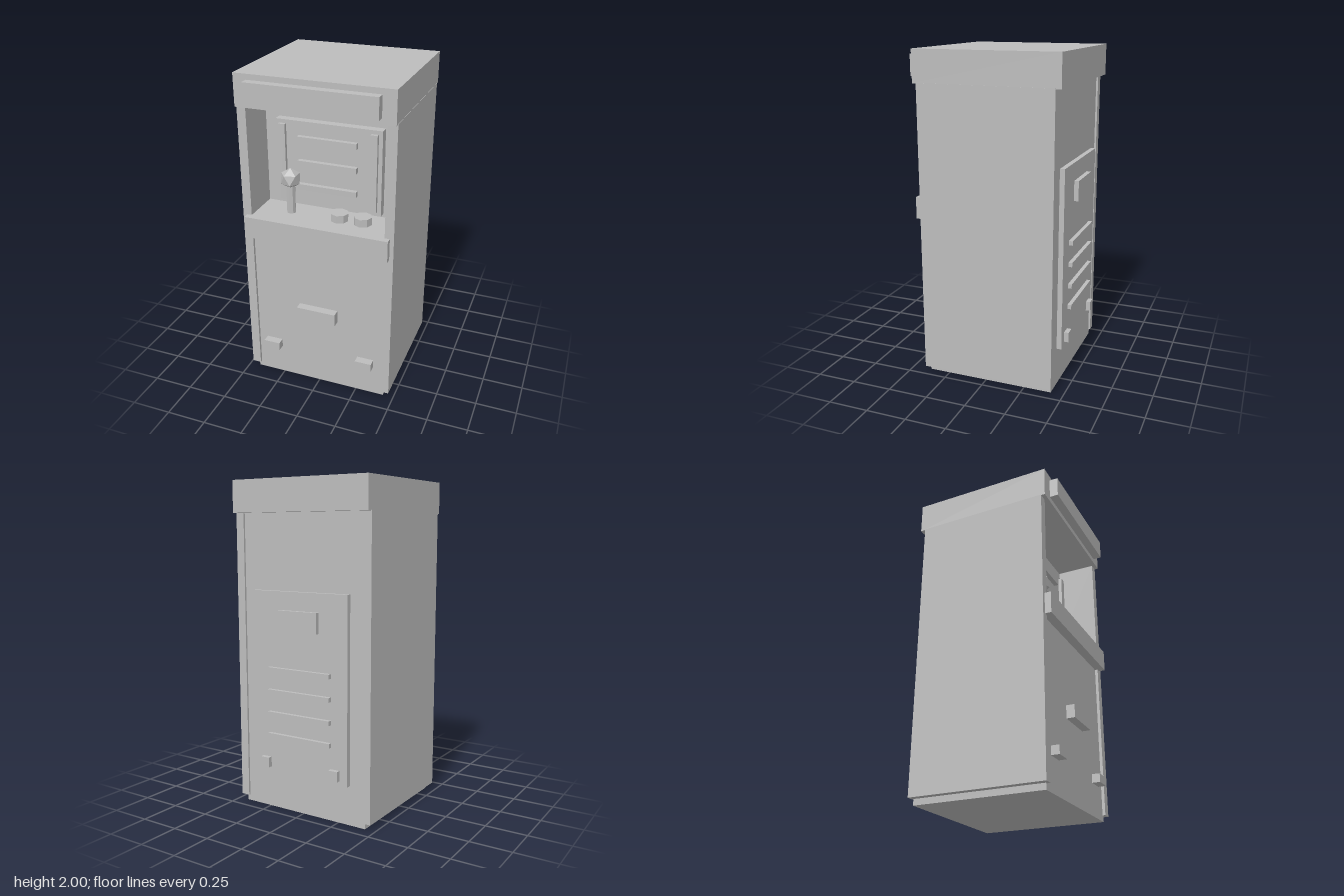
import * as THREE from 'three';

export function createModel() {
  const model = new THREE.Group();
  model.name = 'arcadeCabinet';

  const grey = new THREE.MeshStandardMaterial({ color: 0xbcbcbc });
  grey.name = 'plain grey';

  const add = (name, geometry, x, y, z) => {
    const mesh = new THREE.Mesh(geometry, grey);
    mesh.name = name;
    mesh.position.set(x, y, z);
    model.add(mesh);
    return mesh;
  };

  // Box given by its limits on each axis
  const box = (name, [x0, x1], [y0, y1], [z0, z1]) =>
    add(name, new THREE.BoxGeometry(x1 - x0, y1 - y0, z1 - z0),
      (x0 + x1) / 2, (y0 + y1) / 2, (z0 + z1) / 2);

  // Two boxes mirrored across x = 0
  const pair = (name, [x0, x1], y, z) => {
    box(name + 'Left', [x0, x1], y, z);
    box(name + 'Right', [-x1, -x0], y, z);
  };

  // Cabinet shell
  box('base', [-0.433, 0.433], [0, 0.037], [-0.42, 0.38]);
  box('lowerBody', [-0.42, 0.42], [0.037, 1.0], [-0.42, 0.38]);
  box('upperBody', [-0.42, 0.42], [1.0, 1.81], [-0.42, 0.147]);
  pair('sidePanel', [0.417, 0.472], [0.037, 1.81], [-0.432, 0.398]);
  box('roof', [-0.47, 0.47], [1.807, 2.0], [-0.465, 0.422]);
  box('marquee', [-0.39, 0.39], [1.84, 1.967], [0.41, 0.475]);

  // Recessed screen with its trim
  box('screen', [-0.33, 0.33], [1.16, 1.688], [0.14, 0.2]);
  pair('screenStrip', [0.263, 0.306], [1.188, 1.665], [0.19, 0.222]);
  for (const y of [1.287, 1.437, 1.586]) {
    box('screenBar', [-0.184, 0.184], [y - 0.017, y + 0.017], [0.19, 0.23]);
  }

  // Control deck, joystick and buttons
  box('controlDeck', [-0.448, 0.448], [1.0, 1.133], [0.14, 0.437]);
  add('joystickShaft', new THREE.CylinderGeometry(0.028, 0.028, 0.19, 8), -0.213, 1.225, 0.27);
  const ball = new THREE.IcosahedronGeometry(0.065, 0);
  ball.rotateZ(Math.atan2(1, (1 + Math.sqrt(5)) / 2)); // one corner straight up
  add('joystickBall', ball, -0.213, 1.353, 0.27);
  const button = new THREE.CylinderGeometry(0.055, 0.055, 0.05, 8).toNonIndexed();
  button.computeVertexNormals();
  for (const x of [0.097, 0.243]) add('button', button, x, 1.156, 0.27);

  // Front fittings
  box('coinPlate', [-0.125, 0.125], [0.482, 0.562], [0.37, 0.432]);
  pair('frontTab', [0.258, 0.363], [0.2, 0.253], [0.37, 0.43]);

  // Service hatch on the back
  box('rearHatch', [-0.33, 0.33], [0.24, 1.35], [-0.45, -0.41]);
  box('rearLabelPlate', [-0.137, 0.137], [1.117, 1.24], [-0.478, -0.44]);
  for (const y of [0.473, 0.607, 0.744, 0.88]) {
    box('ventBar', [-0.22, 0.22], [y - 0.0135, y + 0.0135], [-0.474, -0.44]);
  }
  pair('hatchLatch', [0.217, 0.278], [0.268, 0.33], [-0.478, -0.44]);

  // Faceted look for the shaft
  const shaft = model.getObjectByName('joystickShaft');
  shaft.geometry = shaft.geometry.toNonIndexed();
  shaft.geometry.computeVertexNormals();

  return model;
}
